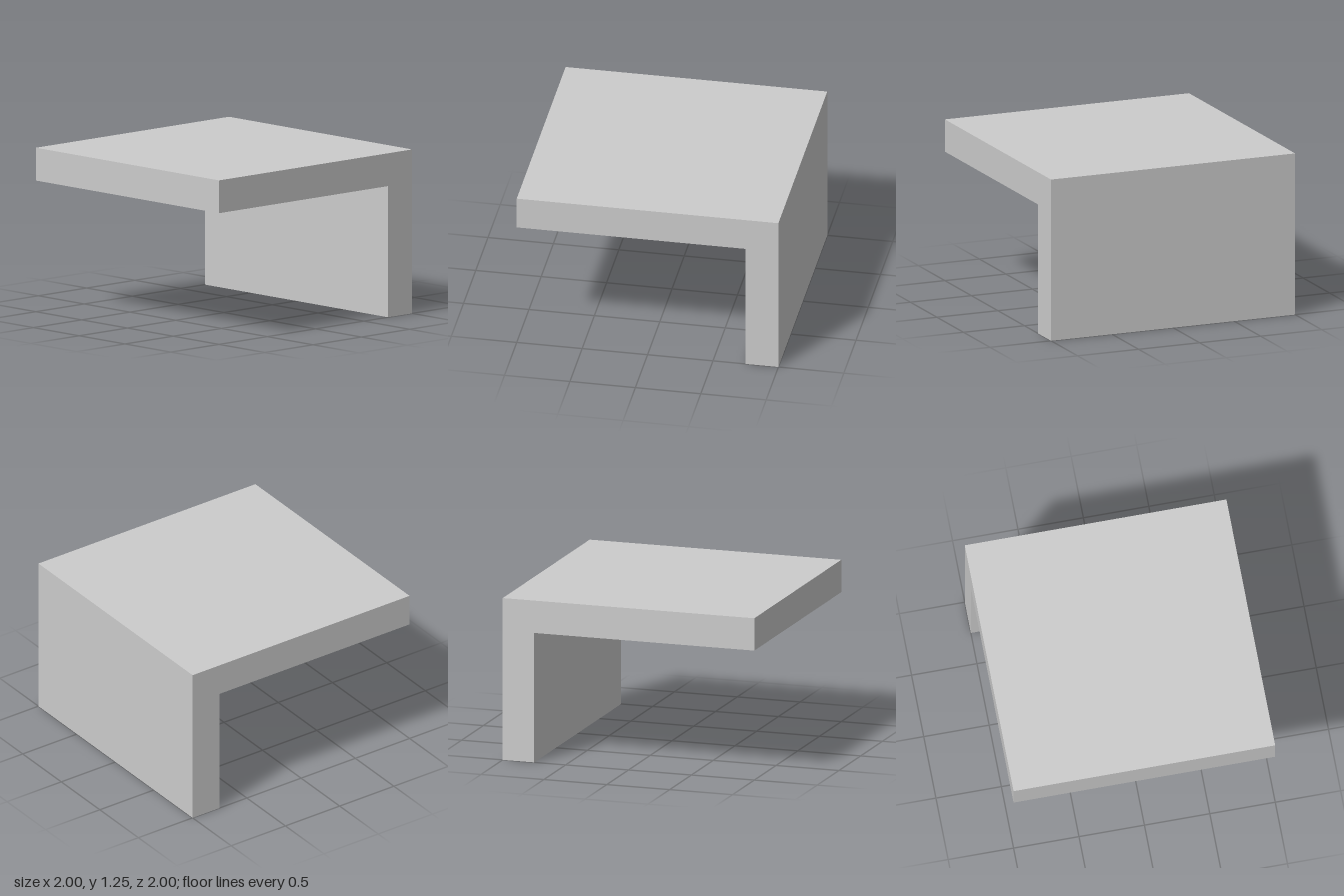
import * as THREE from 'three';

const WIDTH = 2;
const THICK = 0.25;
const COURSES = 5;

export function createModel() {
  const model = new THREE.Group();
  const material = new THREE.MeshStandardMaterial({ color: 0xcccccc, flatShading: true });

  const addBox = (name, height, depth, y, z) => {
    const mesh = new THREE.Mesh(new THREE.BoxGeometry(WIDTH, height, depth), material);
    mesh.name = name;
    mesh.position.set(0, y, z);
    model.add(mesh);
  };

  // Upright back wall, stacked from equal courses
  for (let i = 0; i < COURSES; i++) {
    addBox(`wallCourse${i + 1}`, THICK, THICK, (i + 0.5) * THICK, -1 + THICK / 2);
  }

  // Flat slab reaching forward, flush with the top of the wall
  addBox('topSlab', THICK, 2 - THICK, (COURSES - 0.5) * THICK, THICK / 2);

  return model;
}
